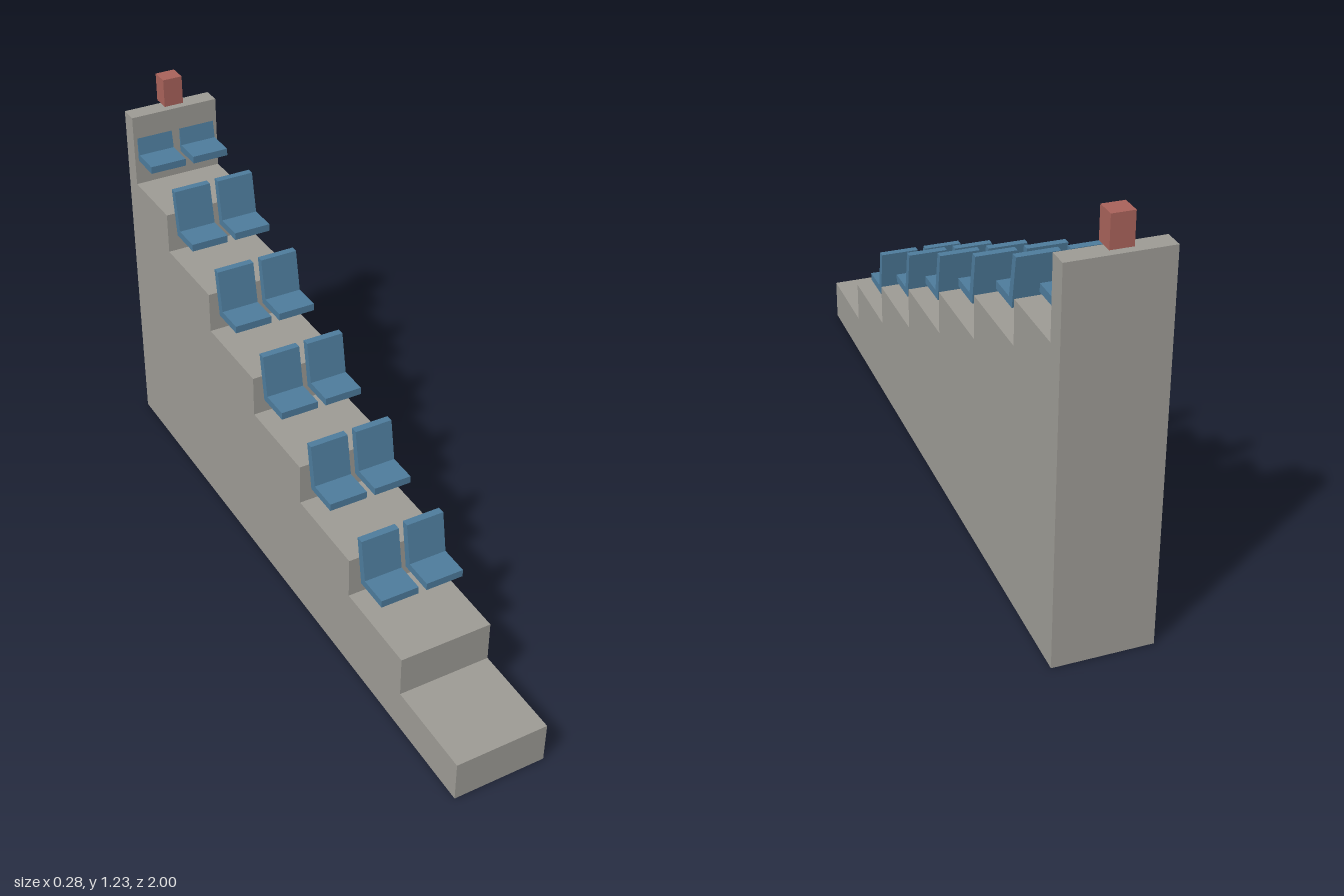
import * as THREE from 'three';

const concrete = new THREE.MeshStandardMaterial({ name: 'concrete grey', color: 0x9c9a94, side: THREE.DoubleSide });
const seatBlue = new THREE.MeshStandardMaterial({ name: 'seat blue', color: 0x4d7b9b });
const boxRed = new THREE.MeshStandardMaterial({ name: 'box red', color: 0xa8625a });

const HALF_WIDTH = 0.142;
const RUN = 2 / 7;
const RISE = 0.1288;

// Extrudes a side profile of [z, y] points across x, centred on x = 0
function extrudeAcross(profile, width) {
  const shape = new THREE.Shape(profile.map(([z, y]) => new THREE.Vector2(-z, y)));
  const geometry = new THREE.ExtrudeGeometry(shape, { depth: width, bevelEnabled: false });
  return geometry.translate(0, 0, -width / 2).rotateY(Math.PI / 2);
}

// Drops the triangles lying on the ground, leaving a shell open below
function openBottom(geometry) {
  const source = geometry.index ? geometry.toNonIndexed() : geometry;
  const pos = source.attributes.position;
  const kept = [];
  for (let i = 0; i < pos.count; i += 3) {
    const corners = [i, i + 1, i + 2];
    if (corners.every((c) => Math.abs(pos.getY(c)) < 1e-5)) continue;
    corners.forEach((c) => kept.push(pos.getX(c), pos.getY(c), pos.getZ(c)));
  }
  const shell = new THREE.BufferGeometry();
  shell.setAttribute('position', new THREE.Float32BufferAttribute(kept, 3));
  shell.computeVertexNormals();
  return shell;
}

export function createModel() {
  const model = new THREE.Group();
  model.name = 'grandstand';

  const add = (geometry, material, name, x = 0, y = 0, z = 0) => {
    const mesh = new THREE.Mesh(geometry, material);
    mesh.name = name;
    mesh.position.set(x, y, z);
    model.add(mesh);
  };

  // Seven terraces rising to a rear wall
  const profile = [[1, 0]];
  for (let i = 0; i < 7; i++) {
    const z = 1 - i * RUN;
    const y = (i + 1) * RISE;
    profile.push([z, y], [i < 6 ? z - RUN : -0.943, y]);
  }
  profile.push([-0.943, 1.13], [-1, 1.13], [-1, 0]);
  add(openBottom(extrudeAcross(profile, HALF_WIDTH * 2)), concrete, 'terraceShell');

  // Pairs of seats with reclined backs, one pair per row
  const seat = extrudeAcross([
    [0.585, 0.337], [0.585, 0.36], [0.495, 0.36], [0.473, 0.485],
    [0.451, 0.485], [0.475, 0.337],
  ], 0.117);
  for (let row = 0; row < 6; row++) {
    for (const side of [-1, 1]) {
      add(seat, seatBlue, side > 0 ? 'leftSeat' : 'rightSeat', side * 0.0715, row * RISE, -row * RUN);
    }
  }

  // Box hovering just above the rear wall
  add(new THREE.BoxGeometry(0.062, 0.089, 0.057), boxRed, 'wallTopBox', 0, 1.187, -0.9715);

  return model;
}
